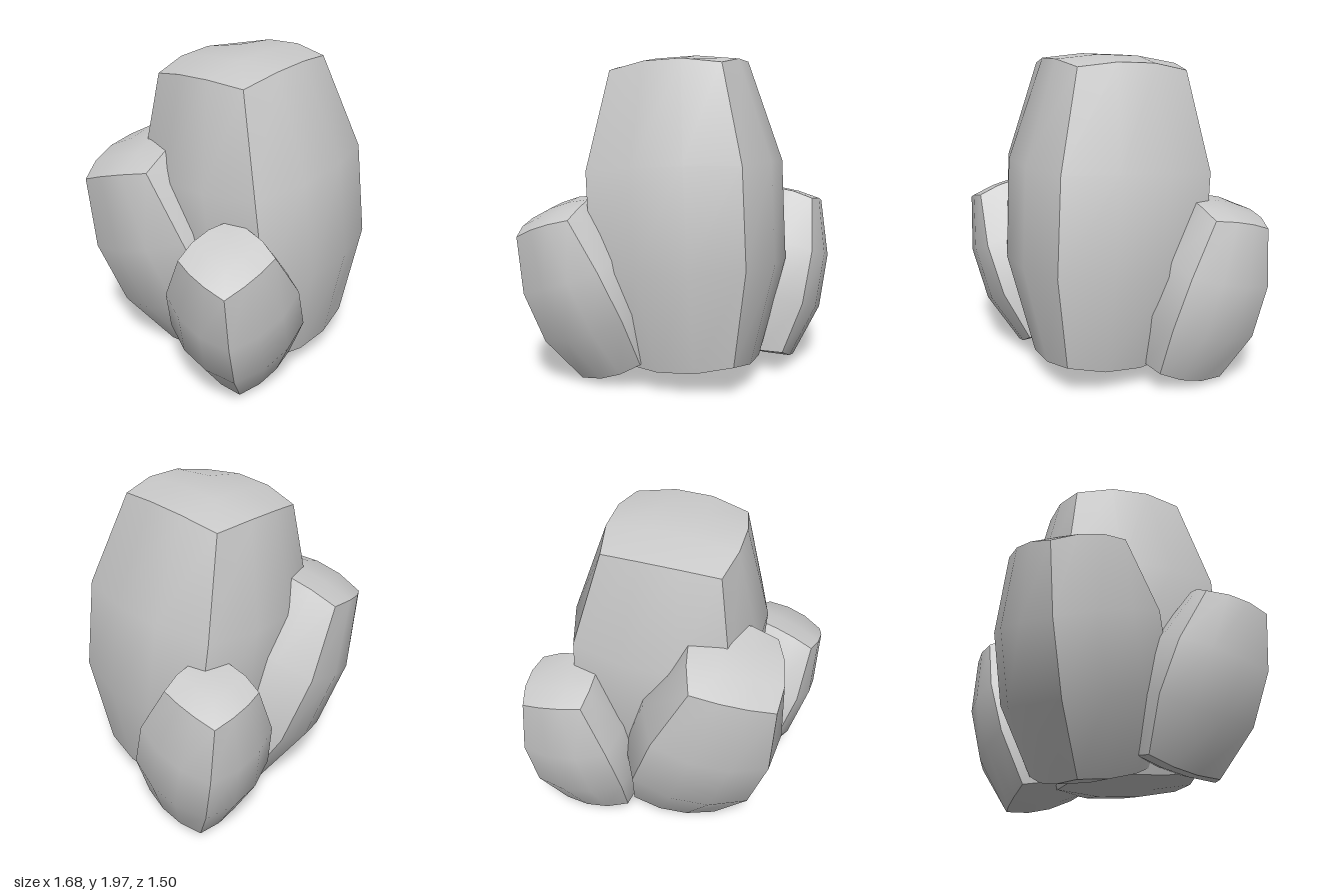
import * as THREE from 'three';

const material = new THREE.MeshStandardMaterial({ color: 0xcccccc });

// A barrel-shaped block: a 3x3x3 box whose six faces swell outwards,
// running along an axis from the centre of its base to the centre of its top.
function bulgedBlock({ name, base, top, radius, taper, yaw }) {
  const start = new THREE.Vector3(...base);
  const end = new THREE.Vector3(...top);
  const axis = end.clone().sub(start);
  const halfHeight = axis.length() / 2;

  const geometry = new THREE.BoxGeometry(2, 2, 2, 3, 3, 3);
  const p = geometry.attributes.position;
  for (let i = 0; i < p.count; i++) {
    const u = p.getX(i), v = p.getY(i), w = p.getZ(i);
    const waist = 1 - v * v;
    const r = radius * (1 - taper * v) * (1 + 0.42 * waist);
    const swell = 0.14 + 0.1 * waist;
    p.setXYZ(
      i,
      u * r * (1 + swell * (1 - w * w)),
      v * halfHeight * (1 + 0.045 * (2 - u * u - w * w)),
      w * r * (1 + swell * (1 - u * u))
    );
  }
  geometry.computeVertexNormals(); // smooth within a face, sharp between faces

  const mesh = new THREE.Mesh(geometry, material);
  mesh.name = name;
  mesh.position.copy(start).add(end).multiplyScalar(0.5);
  mesh.quaternion
    .setFromUnitVectors(new THREE.Vector3(0, 1, 0), axis.normalize())
    .multiply(new THREE.Quaternion().setFromAxisAngle(new THREE.Vector3(0, 1, 0), yaw));
  return mesh;
}

export function createModel() {
  const group = new THREE.Group();
  group.name = 'rockCluster';

  const blocks = [
    // tall central block
    { name: 'mainRock', base: [0.12, 0.18, 0.12], top: [0, 1.91, -0.01], radius: 0.34, taper: 0, yaw: 0 },
    // smaller blocks leaning outwards around it
    { name: 'frontRightRock', base: [-0.29, 0.18, 0.27], top: [-0.63, 1.06, 0.48], radius: 0.2, taper: 0.06, yaw: -0.08 },
    { name: 'backRightRock', base: [-0.04, 0.18, -0.13], top: [-0.45, 1.37, -0.44], radius: 0.26, taper: 0.04, yaw: 0.22 },
    { name: 'backLeftRock', base: [0.42, 0.15, -0.27], top: [0.57, 1.095, -0.515], radius: 0.2, taper: 0.08, yaw: 0 },
  ];
  for (const block of blocks) group.add(bulgedBlock(block));

  return group;
}
